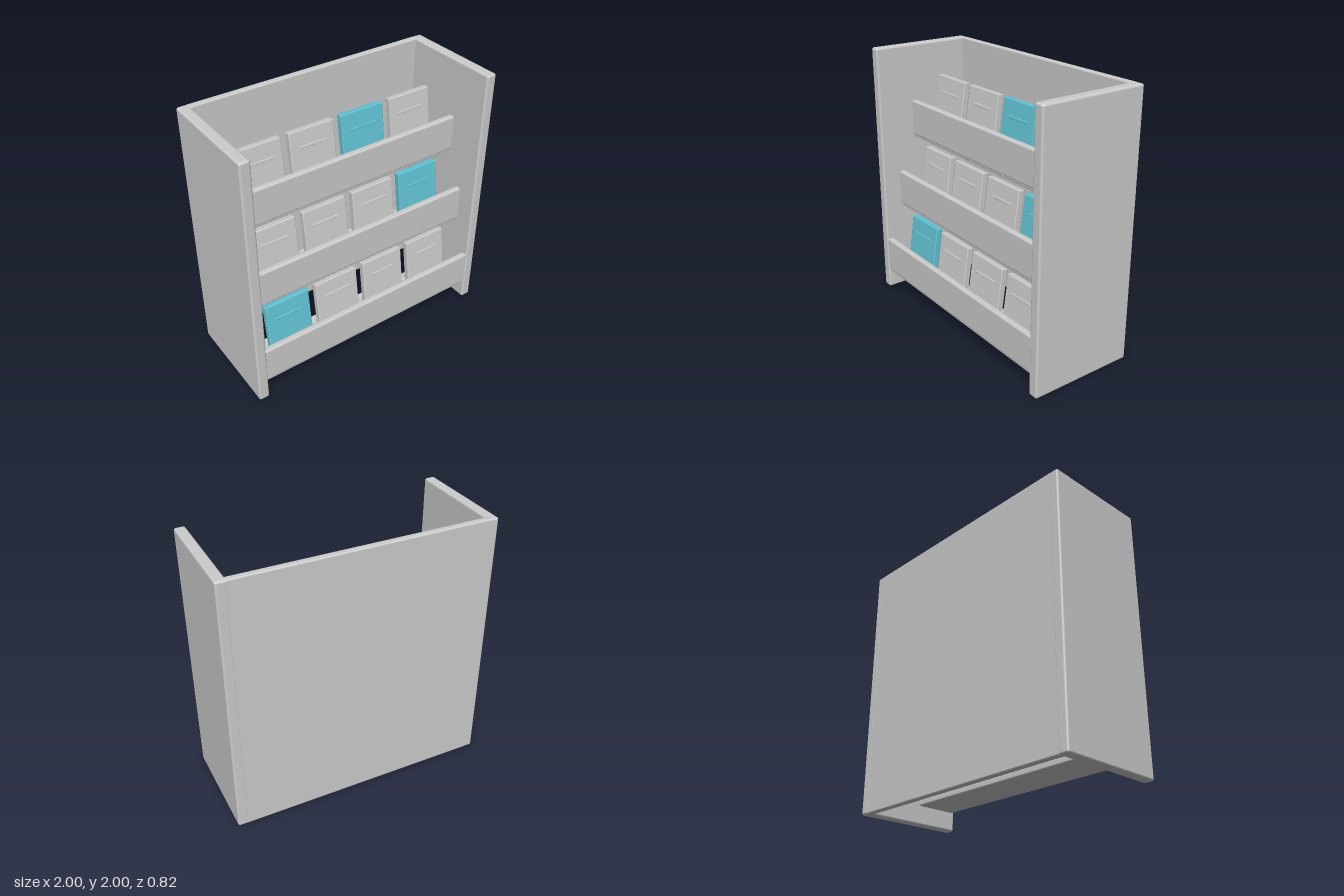
import * as THREE from 'three';
import { RoundedBoxGeometry } from 'three/addons/geometries/RoundedBoxGeometry.js';

const grey = new THREE.MeshStandardMaterial({ color: 0xcccccc });
const teal = new THREE.MeshStandardMaterial({ color: 0x62c4d6 });

// Rounded box given by its size and centre
function box(name, [w, h, d], [x, y, z], radius, material = grey) {
  const mesh = new THREE.Mesh(new RoundedBoxGeometry(w, h, d, 3, radius), material);
  mesh.name = name;
  mesh.position.set(x, y, z);
  return mesh;
}

// Book standing on its lower front edge and leaning back, with a raised title bar
function createBook(material) {
  const book = new THREE.Group();
  book.name = 'book';
  book.add(
    box('cover', [0.358, 0.46, 0.05], [0, 0.23, -0.025], 0.008, material),
    box('titleBar', [0.22, 0.02, 0.012], [0, 0.335, 0.002], 0.004, material)
  );
  book.rotation.x = -0.14;
  return book;
}

// Shelf floor, front lip and four books; origin at the shelf underside and the lip's front face
function createTier(tealIndex) {
  const tier = new THREE.Group();
  tier.name = 'tier';
  tier.add(
    box('shelfFloor', [1.86, 0.05, 0.33], [0, 0.025, -0.175], 0.012),
    box('frontLip', [1.86, 0.275, 0.05], [0, 0.158, -0.025], 0.014)
  );
  for (let i = 0; i < 4; i++) {
    const book = createBook(i === tealIndex ? teal : grey);
    book.position.set(-0.63 + i * 0.419, 0.047, -0.115);
    tier.add(book);
  }
  return tier;
}

export function createModel() {
  const model = new THREE.Group();
  model.name = 'bookDisplay';

  // Case: two sides and a back, open at top and bottom
  for (const side of [-1, 1]) {
    model.add(box(side > 0 ? 'leftSide' : 'rightSide', [0.08, 2, 0.82], [side * 0.96, 1, 0], 0.016));
  }
  model.add(box('backPanel', [1.88, 2, 0.05], [0, 1, -0.384], 0.012));

  // Tiers step back as they rise
  [0, 3, 2].forEach((tealIndex, i) => {
    const tier = createTier(tealIndex);
    tier.position.set(0, 0.145 + i * 0.56, 0.403 - i * 0.141);
    model.add(tier);
  });
  return model;
}
